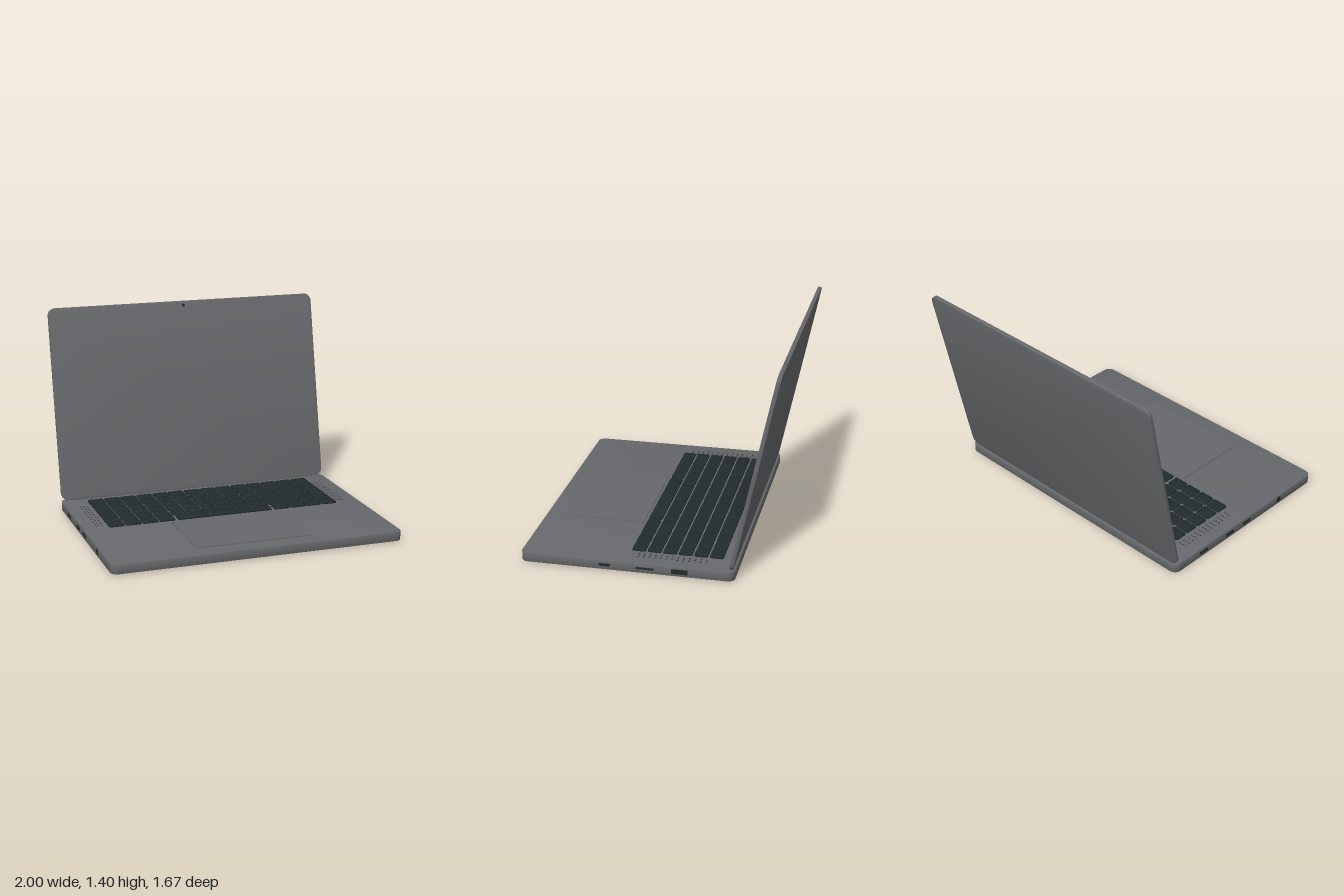
import * as THREE from 'three';
import { toCreasedNormals } from 'three/addons/utils/BufferGeometryUtils.js';

const material = (name, color) => new THREE.MeshStandardMaterial({ name, color });

// Rounded rectangle centred on the origin, extruded along +z from 0 to depth
function roundedSlab(w, h, depth, r, bevel = 0) {
  const x = w / 2 - bevel, y = h / 2 - bevel, s = new THREE.Shape();
  s.moveTo(-x + r, -y);
  s.lineTo(x - r, -y);
  s.absarc(x - r, -y + r, r, -Math.PI / 2, 0);
  s.lineTo(x, y - r);
  s.absarc(x - r, y - r, r, 0, Math.PI / 2);
  s.lineTo(-x + r, y);
  s.absarc(-x + r, y - r, r, Math.PI / 2, Math.PI);
  s.lineTo(-x, -y + r);
  s.absarc(-x + r, -y + r, r, Math.PI, Math.PI * 1.5);
  const g = new THREE.ExtrudeGeometry(s, {
    depth: depth - 2 * bevel, curveSegments: 6, bevelEnabled: bevel > 0,
    bevelSize: bevel, bevelThickness: bevel, bevelSegments: 2,
  });
  g.translate(0, 0, bevel);
  return toCreasedNormals(g, 0.6);
}

// The same slab lying flat, rising from y = 0
const flatSlab = (...args) => roundedSlab(...args).rotateX(-Math.PI / 2);

export function createModel() {
  const model = new THREE.Group();
  model.name = 'laptop';
  const body = material('grey metal', 0x67686b);
  const keyMat = material('dark keys', 0x222c2c);
  const black = material('black rubber', 0x151717);

  function add(parent, name, geometry, mat, x = 0, y = 0, z = 0) {
    const mesh = new THREE.Mesh(geometry, mat);
    mesh.name = name;
    mesh.position.set(x, y, z);
    parent.add(mesh);
    return mesh;
  }

  // Base and trackpad
  add(model, 'base', flatSlab(1.99, 1.405, 0.064, 0.045, 0.003), body, 0, 0.007, 0.132);
  add(model, 'trackpad', flatSlab(0.8, 0.555, 0.006, 0.015), body, 0, 0.07, 0.435);

  // Keyboard: six rows of fourteen, with a space bar in the last row
  const keyboard = new THREE.Group();
  keyboard.name = 'keyboard';
  model.add(keyboard);
  const keyGeo = flatSlab(0.108, 0.09, 0.012, 0.008, 0.002);
  for (let row = 0; row < 6; row++) {
    const z = -0.425 + row * 0.1025;
    for (let col = 0; col < 14; col++) {
      if (row === 5 && col > 3 && col < 10) continue;
      add(keyboard, 'key', keyGeo, keyMat, (col - 6.5) * 0.1183, 0.0705, z);
    }
  }
  add(keyboard, 'spaceBar', flatSlab(0.675, 0.09, 0.012, 0.008, 0.002), keyMat, 0, 0.0705, 0.0875);

  // Speaker holes beside the keyboard, and feet
  const holeGeo = new THREE.CylinderGeometry(0.005, 0.005, 0.002, 8);
  const footGeo = new THREE.CylinderGeometry(0.032, 0.032, 0.009, 24);
  for (const side of [-1, 1]) {
    const grille = new THREE.Group();
    grille.name = side > 0 ? 'leftSpeaker' : 'rightSpeaker';
    model.add(grille);
    for (let i = 0; i < 3; i++) {
      for (let j = 0; j < 13; j++) {
        add(grille, 'speakerHole', holeGeo, keyMat, side * (0.855 + i * 0.0215), 0.071, -0.37 + j * 0.037);
      }
    }
    for (const z of [-0.465, 0.74]) add(model, 'foot', footGeo, black, side * 0.88, 0.0045, z);
  }

  // Side ports: [side, centre z, length, height]
  const ports = [
    [1, 0.272, 0.076, 0.018], [1, 0.008, 0.116, 0.013], [1, -0.218, 0.104, 0.032],
    [-1, -0.297, 0.075, 0.02], [-1, -0.035, 0.075, 0.02], [-1, 0.135, 0.075, 0.02],
  ];
  for (const [side, z, length, height] of ports) {
    add(model, 'port', new THREE.BoxGeometry(0.008, height, length), keyMat, side * 0.9945, 0.04, z);
  }
  const jack = new THREE.CylinderGeometry(0.02, 0.02, 0.008, 20).rotateZ(Math.PI / 2);
  add(model, 'headphoneSocket', jack, keyMat, -0.9945, 0.04, 0.478);

  // Hinge bar along the back
  const hinge = new THREE.CylinderGeometry(0.012, 0.012, 1.8, 16).rotateZ(Math.PI / 2);
  add(model, 'hinge', hinge, body, 0, 0.074, -0.543);

  // Lid, leaning back 12 degrees, with its camera
  const lid = new THREE.Group();
  lid.name = 'lid';
  lid.position.set(0, 0.075, -0.53);
  lid.rotation.x = THREE.MathUtils.degToRad(-12);
  model.add(lid);
  add(lid, 'lidPanel', roundedSlab(1.985, 1.355, 0.027, 0.05, 0.003), body, 0, 0.6775, -0.027);
  const lens = new THREE.CylinderGeometry(0.011, 0.011, 0.006, 20).rotateX(Math.PI / 2);
  add(lid, 'camera', lens, keyMat, 0, 1.323, 0.001);

  return model;
}
